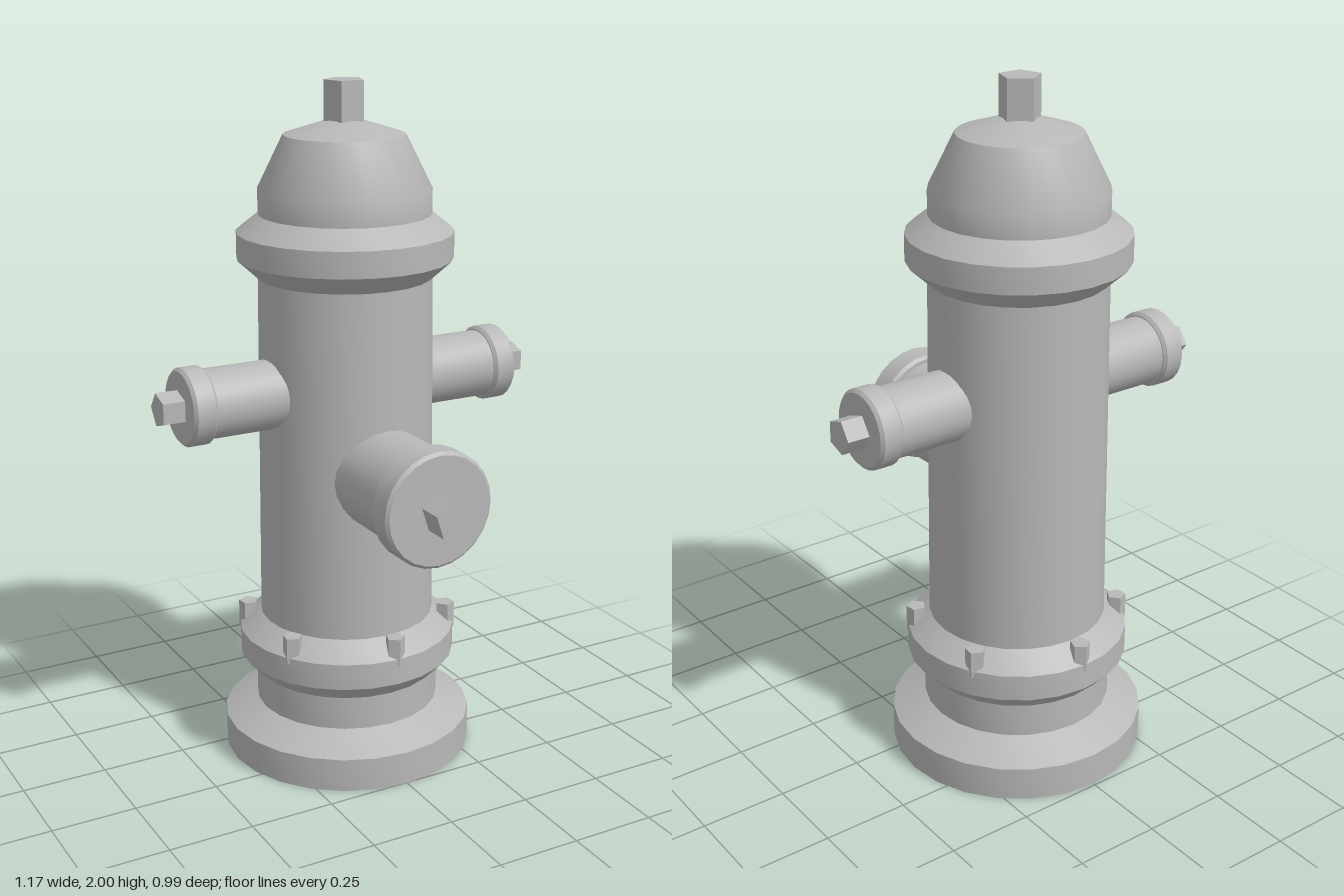
import * as THREE from 'three';
import { toCreasedNormals } from 'three/addons/utils/BufferGeometryUtils.js';

const CENTRE_Z = -0.12;

export function createModel() {
  const model = new THREE.Group();
  model.name = 'hydrant';
  const iron = new THREE.MeshStandardMaterial({ color: 0xb8b8b8 });
  iron.name = 'grey cast iron';

  // Round part turned from a [radius, height] profile, keeping hard rims sharp
  const turned = (name, profile, parent) => {
    const points = profile.map(([r, y]) => new THREE.Vector2(r, y));
    const geometry = toCreasedNormals(new THREE.LatheGeometry(points, 24), Math.PI / 6);
    const mesh = new THREE.Mesh(geometry, iron);
    mesh.name = name;
    parent.add(mesh);
    return mesh;
  };

  // Five-sided nut standing between two heights
  const nut = (name, radius, bottom, top, parent) => {
    const geometry = new THREE.CylinderGeometry(radius, radius, top - bottom, 5);
    geometry.rotateY(Math.PI);
    geometry.translate(0, (top + bottom) / 2, 0);
    const mesh = new THREE.Mesh(toCreasedNormals(geometry, 0.3), iron);
    mesh.name = name;
    parent.add(mesh);
    return mesh;
  };

  const column = new THREE.Group();
  column.name = 'column';
  column.position.z = CENTRE_Z;
  model.add(column);

  // Foot, flange, barrel, collar and bonnet
  turned('base', [[0, 0], [0.373, 0], [0.373, 0.1], [0.275, 0.15], [0.275, 0.25]], column);
  turned('lowerFlange', [[0.275, 0.25], [0.323, 0.3], [0.323, 0.378], [0.257, 0.43]], column);
  turned('barrel', [[0.259, 0.4], [0.25, 1.455]], column);
  turned('collar', [[0.25, 1.45], [0.31, 1.505], [0.31, 1.58], [0.247, 1.63]], column);
  turned('bonnet', [[0.247, 1.625], [0.247, 1.7], [0.173, 1.85], [0, 1.905]], column);
  nut('topNut', 0.059, 1.87, 2, column);

  // Six bolts around the lower flange, each with a corner facing outward
  for (let i = 0; i < 6; i++) {
    const bolt = new THREE.Group();
    bolt.name = 'flangeBolt';
    bolt.rotation.y = (i * Math.PI) / 3;
    const head = nut('boltHead', 0.029, 0.36, 0.44, bolt);
    head.position.z = -0.298;
    column.add(bolt);
  }

  // Outlet pointing along +y: pipe, cap with bevelled rims, and nut
  const outlet = (name, { pipe, cap, nutRadius, start, capStart, capEnd, end, bevel }) => {
    const group = new THREE.Group();
    group.name = name;
    turned('outletPipe', [[pipe, start], [pipe, capStart + 0.01]], group);
    turned('outletCap', [
      [0, capStart], [cap - bevel, capStart], [cap, capStart + bevel],
      [cap, capEnd - bevel], [cap - bevel, capEnd], [0, capEnd],
    ], group);
    nut('outletNut', nutRadius, capEnd - 0.01, end, group);
    column.add(group);
    return group;
  };

  // Large front outlet
  const front = outlet('frontOutlet', {
    pipe: 0.147, cap: 0.167, nutRadius: 0.06,
    start: 0.18, capStart: 0.45, capEnd: 0.535, end: 0.612, bevel: 0.009,
  });
  front.position.y = 0.905;
  front.rotation.x = Math.PI / 2;

  // Small outlets on both sides
  for (const side of [1, -1]) {
    const small = outlet(side > 0 ? 'leftOutlet' : 'rightOutlet', {
      pipe: 0.1, cap: 0.112, nutRadius: 0.05,
      start: 0.2, capStart: 0.45, capEnd: 0.522, end: 0.587, bevel: 0.009,
    });
    small.position.y = 1.13;
    small.rotation.z = (-side * Math.PI) / 2;
  }

  return model;
}
